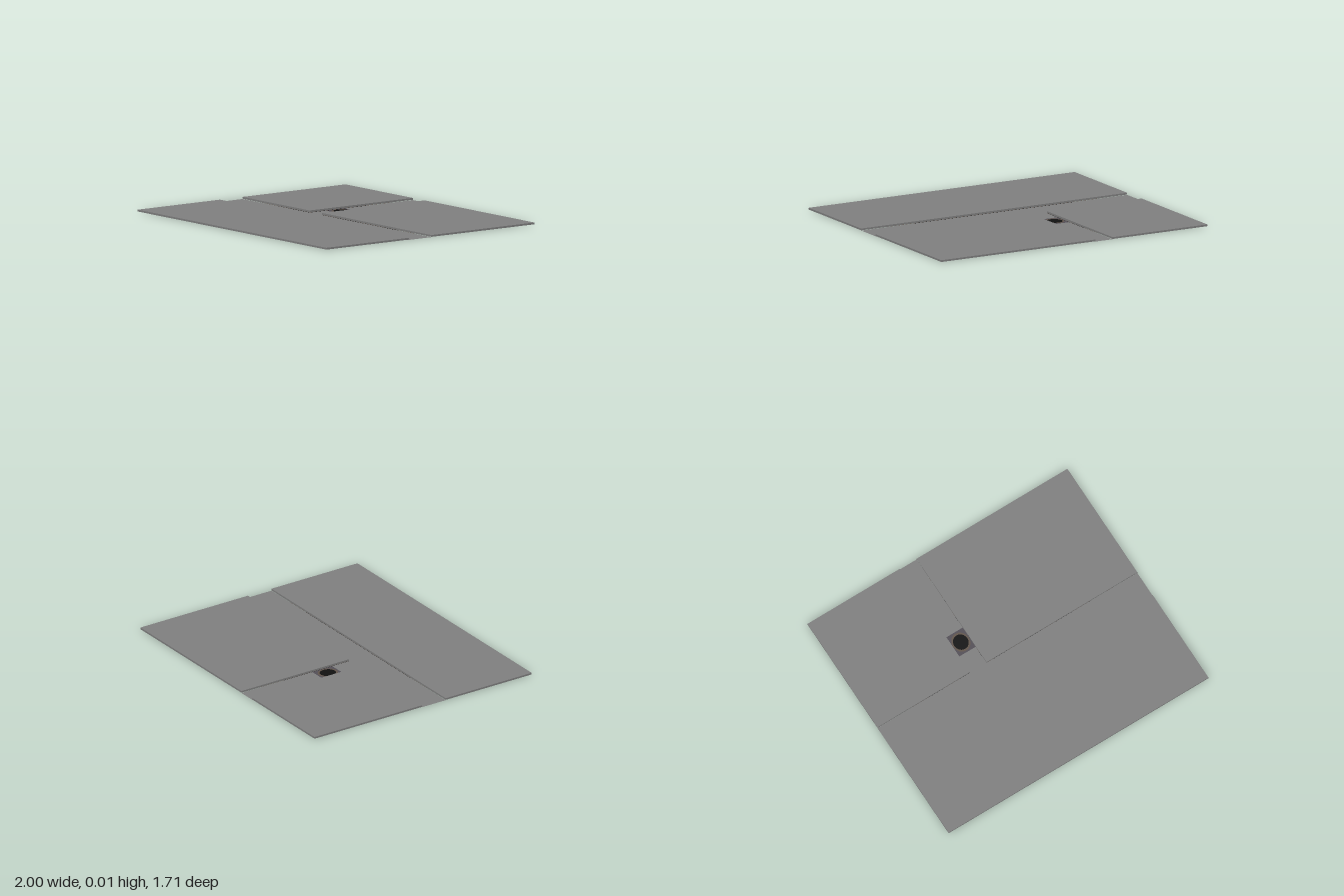
import * as THREE from 'three';

const mat = (name, color, side = THREE.FrontSide) => {
  const m = new THREE.MeshStandardMaterial({ color, side });
  m.name = name;
  return m;
};

// Rectangles in plan: x0, x1, z0, z1
const X0 = -1, X1 = 1, Z0 = -0.855, Z1 = 0.855;
const STEM0 = -0.288, STEM1 = -0.16, BACK = -0.008, FRONT = 0.178;
const COVER0 = -0.297, COVER1 = -0.14;
const HEIGHT = 0.014, LAYER = 0.001;

const rectPoints = ([x0, x1, z0, z1]) =>
  [[x0, z0], [x1, z0], [x1, z1], [x0, z1]].map(([x, z]) => new THREE.Vector2(x, z));

const ellipsePoints = (cx, cz, rx, rz) =>
  new THREE.EllipseCurve(cx, cz, rx, rz).getPoints(64).slice(0, -1);

// Keep the part of a convex outline that lies inside a rectangle
function clip(points, [x0, x1, z0, z1]) {
  const sides = [['x', x0, 1], ['x', x1, -1], ['y', z0, 1], ['y', z1, -1]];
  return sides.reduce((poly, [axis, limit, sign]) => {
    const out = [];
    poly.forEach((b, i) => {
      const a = poly[(i + poly.length - 1) % poly.length];
      const da = (a[axis] - limit) * sign, db = (b[axis] - limit) * sign;
      if (da * db < 0) out.push(a.clone().lerp(b, da / (da - db)));
      if (db >= 0) out.push(b);
    });
    return out;
  }, points);
}

// Flat horizontal face from a plan outline (shape y becomes z, facing down)
function flat(name, points, y, material, hole) {
  const shape = new THREE.Shape(points);
  if (hole) shape.holes.push(new THREE.Path(hole));
  const geo = new THREE.ShapeGeometry(shape);
  geo.rotateX(Math.PI / 2);
  const mesh = new THREE.Mesh(geo, material);
  mesh.position.y = y;
  mesh.name = name;
  return mesh;
}

export function createModel() {
  const group = new THREE.Group();
  group.name = 'streetJunction';
  const grey = mat('pavementGrey', 0x808080);
  const road = mat('roadGrey', 0x808080, THREE.DoubleSide);
  const dark = mat('darkStone', 0x545058, THREE.DoubleSide);
  const brown = mat('rustBrown', 0x63564c, THREE.DoubleSide);
  const black = mat('holeBlack', 0x111111, THREE.DoubleSide);
  const yellow = mat('ochreMark', 0xb49748, THREE.DoubleSide);

  // Raised pavement slabs with a stained underside running across all three
  const slabs = {
    frontPavement: [X0, X1, FRONT, Z1],
    backRightPavement: [X0, STEM0, Z0, BACK],
    backLeftPavement: [STEM1, X1, Z0, BACK],
  };
  const stains = [
    ['rustRing', ellipsePoints(0, 0, 0.82, 0.71), LAYER, brown],
    ['darkCentre', ellipsePoints(0, 0, 0.64, 0.54), 0, black],
    ['frontMark', rectPoints([-0.125, -0.05, 0.735, 0.85]), LAYER, yellow],
    ['backMark', rectPoints([-0.125, -0.05, -0.85, -0.735]), LAYER, yellow],
  ];
  for (const [name, rect] of Object.entries(slabs)) {
    const [x0, x1, z0, z1] = rect;
    const slab = new THREE.Group();
    slab.name = name;
    const base = 2 * LAYER;
    const box = new THREE.Mesh(
      new THREE.BoxGeometry(x1 - x0, HEIGHT - base, z1 - z0),
      [grey, grey, grey, dark, grey, grey]);
    box.position.set((x0 + x1) / 2, (HEIGHT + base) / 2, (z0 + z1) / 2);
    box.name = 'slab';
    slab.add(box);
    for (const [label, points, y, material] of stains) {
      const part = clip(points, rect);
      if (part.length > 2) slab.add(flat(label, part, y, material));
    }
    group.add(slab);
  }

  // Road surface: cross street and side street, open at the drain cover
  group.add(flat('crossStreet', rectPoints([X0, X1, BACK, FRONT]), 0, road));
  group.add(flat('sideStreetNear', rectPoints([STEM0, STEM1, COVER1, BACK]), 0, road));
  group.add(flat('sideStreetFar', rectPoints([STEM0, STEM1, Z0, COVER0]), 0, road));

  // Drain cover: dark frame, rusty rim and black opening
  const cx = (STEM0 + STEM1) / 2, cz = (COVER0 + COVER1) / 2;
  const rim = ellipsePoints(cx, cz, 0.06, 0.068);
  const opening = ellipsePoints(cx, cz, 0.05, 0.054);
  const cover = new THREE.Group();
  cover.name = 'drainCover';
  cover.add(
    flat('coverFrame', rectPoints([STEM0, STEM1, COVER0, COVER1]), 0, dark, rim),
    flat('coverRim', rim, 0, brown, opening),
    flat('coverOpening', opening, 0, black));
  group.add(cover);

  return group;
}
